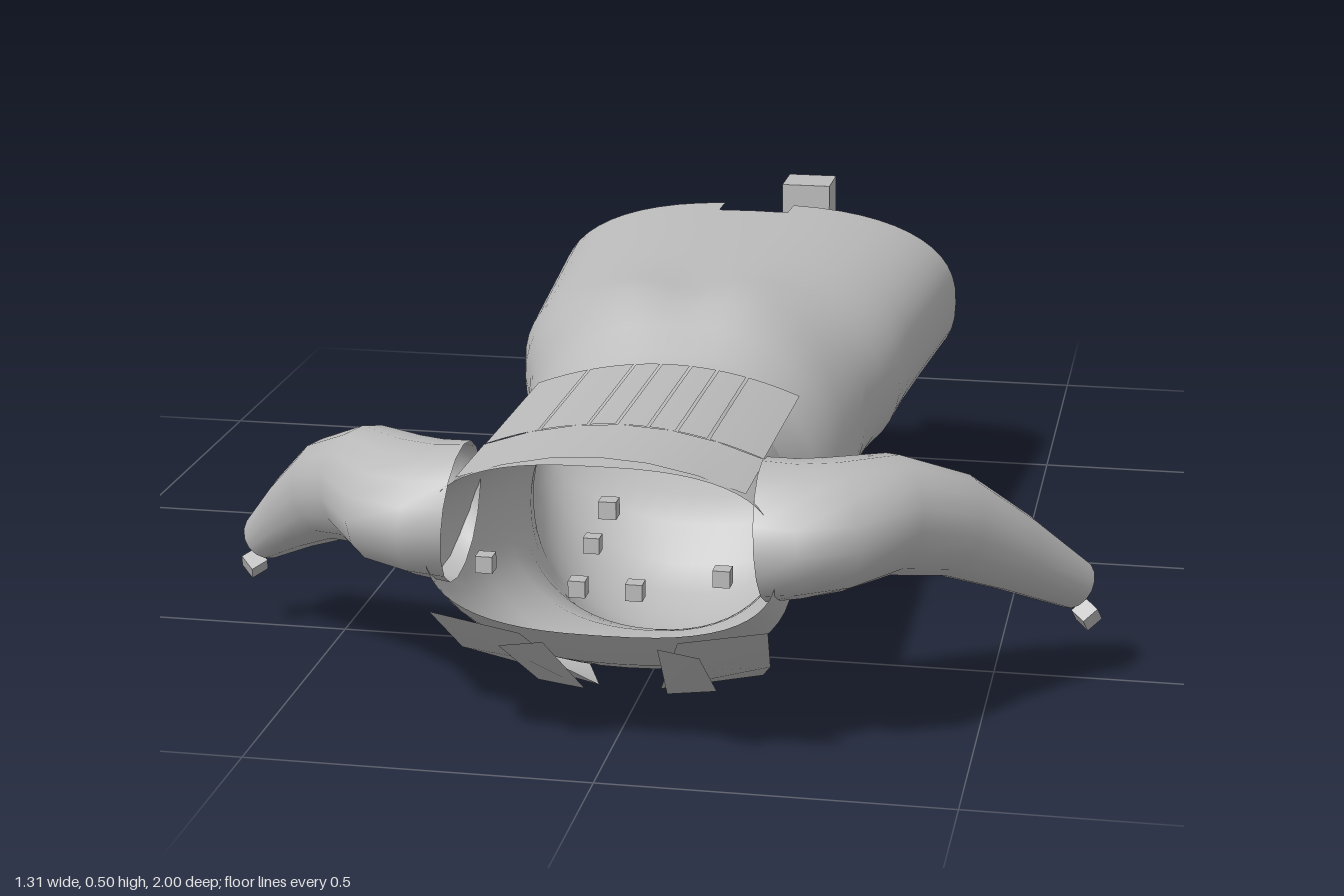
import * as THREE from 'three';

const cloth = new THREE.MeshStandardMaterial({ color: 0xbcbcbc, side: THREE.DoubleSide });
cloth.name = 'grey cloth';

// Surface through a list of rings (or open rows) with equal point counts
function loft(rings, closed = true, skip = () => false) {
  const n = rings[0].length, index = [];
  for (let r = 0; r < rings.length - 1; r++) {
    for (let i = 0; i < (closed ? n : n - 1); i++) {
      if (skip(r, i)) continue;
      const a = r * n + i, b = r * n + (i + 1) % n;
      index.push(a, b, a + n, b, b + n, a + n);
    }
  }
  const g = new THREE.BufferGeometry();
  g.setAttribute('position', new THREE.Float32BufferAttribute(rings.flat(2), 3));
  g.setIndex(index);
  g.computeVertexNormals();
  return g;
}

function add(group, name, geometry) {
  const m = new THREE.Mesh(geometry, cloth);
  m.name = name;
  group.add(m);
  return m;
}

function box(group, name, size, x, y, z) {
  const m = add(group, name, new THREE.BoxGeometry(size, size, size));
  m.position.set(x, y, z);
  return m;
}

// Body cross-section: rounded oval, optionally with a cleft along the top
const SEGS = 56;
function bodyRing(z, bottom, top, half, exp = 2.3, cleft = 0, bend = 0) {
  const cy = (top + bottom) / 2, h = (top - bottom) / 2, pts = [];
  const p = (v) => Math.sign(v) * Math.abs(v) ** (2 / exp);
  for (let i = 0; i < SEGS; i++) {
    const a = (i / SEGS) * Math.PI * 2;
    const x = half * p(Math.cos(a)), s = Math.sin(a);
    const dip = s > 0 ? cleft * Math.exp(-((x / 0.06) ** 2)) : 0;
    const dz = bend * (s < 0 ? s * s * 0.04 : s * s * 0.012);
    pts.push([x, cy + h * p(s) - dip, z - dz]);
  }
  return pts;
}

// Tube ring: centre, sideways direction in plan, radii, and path tangent
function tubeRing(c, side, rh, rv, tangent, n = 16) {
  const s = new THREE.Vector3(side[0], 0, side[1]).normalize();
  const u = new THREE.Vector3(...tangent).cross(s).normalize();
  return Array.from({ length: n }, (_, i) => {
    const a = (i / n) * Math.PI * 2;
    return new THREE.Vector3(...c).addScaledVector(s, rh * Math.cos(a))
      .addScaledVector(u, rv * Math.sin(a)).toArray();
  });
}

export function createModel() {
  const root = new THREE.Group();
  root.name = 'garment';

  // Skirt, with a notch at the back of the hem
  const skirt = [
    [-0.36, 0.175, 0.492, 0.345, 2.5, 0, 1],
    [-0.31, 0.175, 0.494, 0.34, 2.5],
    [-0.15, 0.17, 0.497, 0.325, 2.45],
    [0, 0.165, 0.498, 0.312, 2.4],
    [0.1, 0.152, 0.502, 0.305, 2.3, 0.004],
    [0.17, 0.14, 0.508, 0.288, 2.2, 0.01],
    [0.22, 0.11, 0.514, 0.27, 2.2, 0.017],
    [0.26, 0.055, 0.515, 0.262, 2.1, 0.018],
    [0.31, 0.025, 0.508, 0.252, 2.1, 0.016],
    [0.36, 0.01, 0.482, 0.24, 2.1, 0.008],
    [0.41, 0.004, 0.445, 0.225, 2.1],
    [0.46, 0.008, 0.432, 0.208, 2.1],
    [0.51, 0.025, 0.43, 0.2, 2.1],
  ];
  const q = SEGS / 4;
  add(root, 'skirt', loft(skirt.map((s) => bodyRing(...s)), true,
    (r, i) => r === 0 && (i === q || i === q - 1)));

  // Jacket body, open at the neck
  const jacket = [
    [0.51, 0.025, 0.43, 0.2, 2.1],
    [0.57, 0.065, 0.43, 0.198, 2.2],
    [0.64, 0.09, 0.431, 0.205, 2.3],
    [0.71, 0.085, 0.433, 0.222, 2.4],
    [0.77, 0.082, 0.435, 0.24, 2.4],
    [0.84, 0.115, 0.438, 0.25, 2.5],
    [0.9, 0.16, 0.44, 0.25, 2.6],
    [0.95, 0.2, 0.442, 0.245, 2.7],
  ];
  add(root, 'jacketBody', loft(jacket.map((s) => bodyRing(...s))));

  // Back panel: one yoke and slit strips that follow the curve of the back
  const backRow = (x0, x1, z) => Array.from({ length: 7 }, (_, i) => {
    const x = x0 + ((x1 - x0) * i) / 6;
    return [x, 0.442 + (z - 0.45) * 0.02 - 0.04 * (x / 0.2) ** 2, z];
  });
  add(root, 'backYoke', loft([backRow(-0.2, 0.2, 0.78), backRow(-0.2, 0.2, 0.94)], false));
  const cuts = [-0.2, -0.12, -0.05, -0.01, 0.035, 0.075, 0.12, 0.2];
  for (let i = 0; i < cuts.length - 1; i++) {
    const a = cuts[i] + 0.002, b = cuts[i + 1] - 0.002;
    add(root, 'backStrip', loft([backRow(a, b, 0.455), backRow(a, b, 0.78)], false));
  }

  // Arm stations: centre, sideways direction, horizontal and vertical radius
  const arm = [
    [[0.215, 0.335, 0.858], [0, 1], 0.11, 0.098],
    [[0.26, 0.338, 0.855], [0.12, 1], 0.122, 0.092],
    [[0.305, 0.34, 0.835], [0.42, 0.9], 0.12, 0.088],
    [[0.37, 0.335, 0.765], [0.62, 0.78], 0.088, 0.085],
    [[0.45, 0.297, 0.685], [0.68, 0.73], 0.07, 0.075],
    [[0.53, 0.232, 0.602], [0.68, 0.73], 0.054, 0.058],
    [[0.615, 0.155, 0.51], [0.72, 0.69], 0.038, 0.038],
  ];
  // Leg openings inside the hem
  const leg = [
    [[0.25, 0.33, -0.395], [1, 0.35], 0.092, 0.102],
    [[0.235, 0.33, -0.3], [1, 0.15], 0.09, 0.1],
    [[0.19, 0.33, -0.1], [1, 0], 0.105, 0.115],
    [[0.14, 0.32, 0.12], [1, 0], 0.125, 0.13],
  ];
  const tube = (st) => loft(st.map(([c, s, rh, rv], i) => {
    const a = st[Math.max(i - 1, 0)][0], b = st[Math.min(i + 1, st.length - 1)][0];
    return tubeRing(c, s, rh, rv, b.map((v, k) => v - a[k]));
  }));
  const mirror = (st, m) => st.map(([c, s, rh, rv]) => [[c[0] * m, c[1], c[2]], [s[0] * m, s[1]], rh, rv]);

  for (const m of [1, -1]) {
    const side = m > 0 ? 'left' : 'right';
    add(root, side + 'Sleeve', tube(mirror(arm, m)));
    add(root, side + 'LegOpening', tube(mirror(leg, m)));

    // Layered chest flaps hanging off the front
    add(root, side + 'Lapel', loft([
      [[0.11 * m, 0.2, 0.96], [0.235 * m, 0.225, 0.965]],
      [[0.075 * m, 0.115, 0.86], [0.22 * m, 0.13, 0.85]],
      [[0.045 * m, 0.045, 0.75], [0.19 * m, 0.068, 0.73]],
      [[0.08 * m, 0.062, 0.68], [0.17 * m, 0.085, 0.66]],
    ], false));
    add(root, side + 'LapelFold', loft([
      [[0.08 * m, 0.185, 0.95], [0.14 * m, 0.18, 0.96]],
      [[0.06 * m, 0.05, 0.78], [0.13 * m, 0.055, 0.77]],
    ], false));

    // Marker cubes at the joints
    box(root, side + 'WristCube', 0.028, 0.635 * m, 0.11, 0.515).rotation.set(0.5, 0.75 * m, 0.3 * m);
    box(root, side + 'ShoulderCube', 0.024, 0.165 * m, 0.285, 0.92);
    box(root, side + 'ChestCube', 0.024, 0.04 * m, 0.25, 0.9);
    box(root, side + 'LegCube', 0.025, 0.22 * m, 0.33, -0.37);
  }
  box(root, 'neckCube', 0.022, 0, 0.345, 0.984);
  box(root, 'spineCube', 0.025, 0, 0.36, 0.88);
  box(root, 'skirtCube', 0.028, 0, 0.16, 0.05);
  box(root, 'rearCube', 0.09, 0, 0.355, -0.955);

  return root;
}
